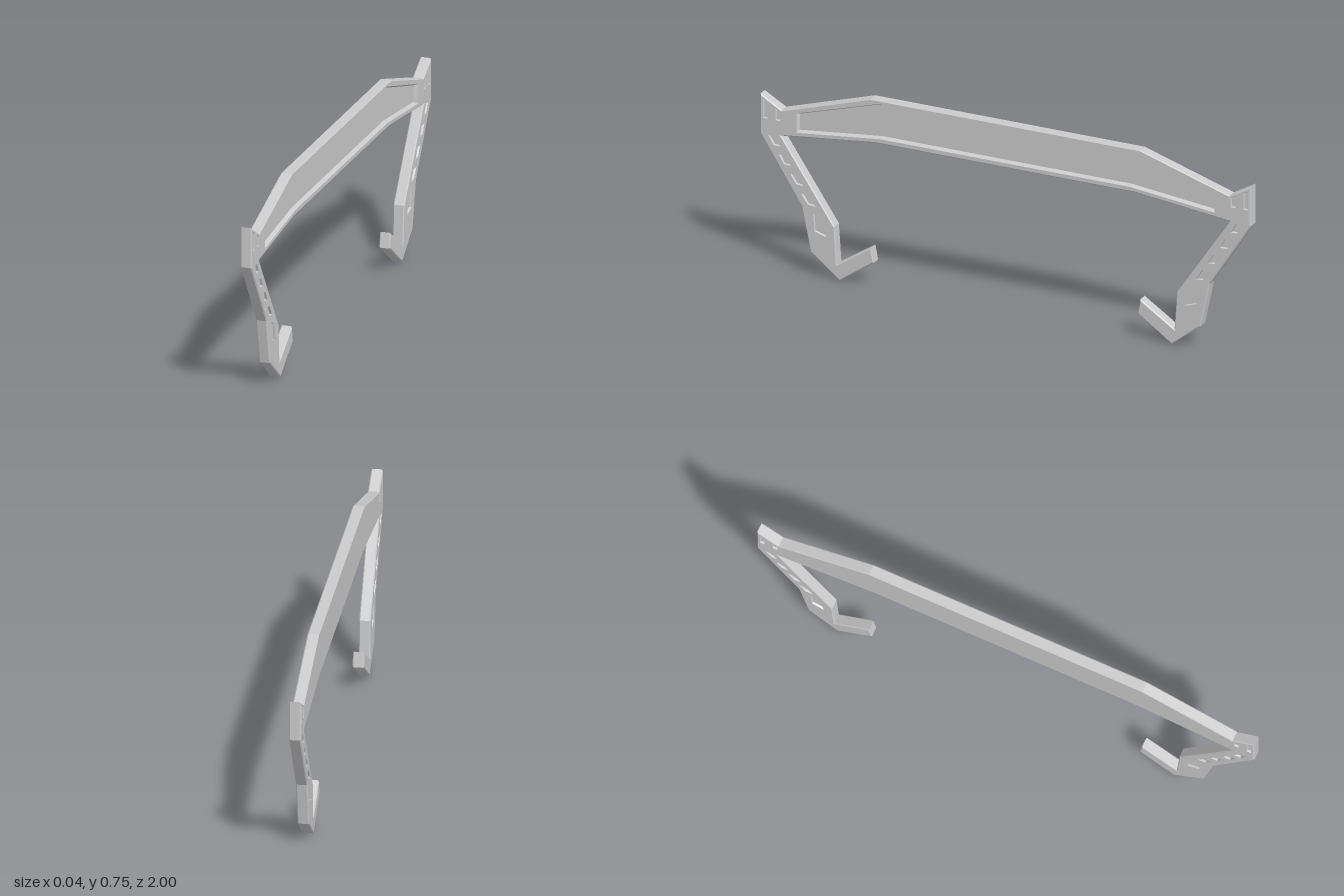
import * as THREE from 'three';
import { mergeGeometries } from 'three/addons/utils/BufferGeometryUtils.js';

const HALF = 0.0215;    // half thickness
const BEVEL = 0.004;    // chamfer around the outline

const toPoints = (list) => {
  const pts = list.map(([u, v]) => new THREE.Vector2(u, v));
  return THREE.ShapeUtils.area(pts) < 0 ? pts.reverse() : pts;
};
const mirrored = (list) => list.map(([u, v]) => [-u, v]);

// Move every edge of a counter-clockwise loop inwards by d
function inset(pts, d) {
  const n = pts.length;
  return pts.map((p, i) => {
    const a = p.clone().sub(pts[(i + n - 1) % n]).normalize();
    const b = pts[(i + 1) % n].clone().sub(p).normalize();
    const na = new THREE.Vector2(-a.y, a.x);
    const nb = new THREE.Vector2(-b.y, b.x);
    return p.clone().addScaledVector(na.clone().add(nb), d / (1 + na.dot(nb)));
  });
}

// Flat-faced wall through a stack of [loop, depth] rings
function loft(rings) {
  const pos = [];
  for (let r = 0; r < rings.length - 1; r++) {
    const [A, wa] = rings[r];
    const [B, wb] = rings[r + 1];
    for (let i = 0; i < A.length; i++) {
      const j = (i + 1) % A.length;
      const a = [A[i].x, A[i].y, wa], b = [A[j].x, A[j].y, wa];
      const c = [B[j].x, B[j].y, wb], d = [B[i].x, B[i].y, wb];
      pos.push(...a, ...b, ...c, ...a, ...c, ...d);
    }
  }
  const g = new THREE.BufferGeometry();
  g.setAttribute('position', new THREE.Float32BufferAttribute(pos, 3));
  g.computeVertexNormals();
  return g;
}

function flat(pts, depth, holes = []) {
  const shape = new THREE.Shape(pts);
  shape.holes = holes.map((h) => new THREE.Path(h));
  const g = new THREE.ShapeGeometry(shape).toNonIndexed().translate(0, 0, depth);
  g.deleteAttribute('uv');
  return g;
}

// Sunken pocket: sloping walls plus a floor
function pocket(rim, depth, slope) {
  const floor = inset(rim, slope);
  return mergeGeometries([
    loft([[rim, HALF], [floor, HALF - depth]]),
    flat(floor, HALF - depth),
  ]);
}

export function createModel() {
  const group = new THREE.Group();
  const material = new THREE.MeshStandardMaterial({ color: 0xcccccc, flatShading: true });
  const add = (name, geometry, turn = 0) => {
    const mesh = new THREE.Mesh(geometry.rotateY(Math.PI / 2 + turn), material);
    mesh.name = name;
    group.add(mesh);
  };

  // Half profile: beam top, end horn, leg, hooked foot, beam underside
  const half = [
    [0.55, 0.747], [0.913, 0.634], [1, 0.684], [1, 0.528], [0.832, 0.268],
    [0.795, 0.093], [0.677, 0], [0.538, 0.097], [0.549, 0.155], [0.688, 0.063],
    [0.698, 0.211], [0.915, 0.532], [0.53, 0.575],
  ];
  const outline = toPoints([...half, ...mirrored(half).reverse()]);
  const faceLoop = inset(outline, BEVEL);

  // Long sunken panel in the beam
  const panelHalf = [[0.51, 0.735], [0.852, 0.633], [0.852, 0.556], [0.51, 0.594]];
  const panelRim = toPoints([...panelHalf, ...mirrored(panelHalf).reverse()]);

  // Leg windows and end slots of one half
  const windows = [
    [[0.966, 0.526], [0.94, 0.526], [0.919, 0.49], [0.945, 0.49]],
    [[0.923, 0.457], [0.893, 0.457], [0.875, 0.421], [0.903, 0.421]],
    [[0.877, 0.388], [0.846, 0.388], [0.825, 0.349], [0.853, 0.352]],
    [[0.833, 0.318], [0.802, 0.318], [0.774, 0.276], [0.806, 0.28]],
    [[0.784, 0.247], [0.747, 0.233], [0.731, 0.163], [0.779, 0.179]],
    [[0.918, 0.59], [0.938, 0.59], [0.938, 0.638], [0.918, 0.626]],
    [[0.97, 0.59], [0.988, 0.59], [0.988, 0.665], [0.97, 0.655]],
  ];
  const rims = windows.flatMap((w) => [toPoints(w), toPoints(mirrored(w))]);

  add('outerEdge', loft([
    [faceLoop, -HALF], [outline, BEVEL - HALF], [outline, HALF - BEVEL], [faceLoop, HALF],
  ]));
  add('panelFace', flat(faceLoop, HALF, [panelRim, ...rims]));
  add('plainFace', flat(faceLoop, HALF, rims), Math.PI);
  add('beamPanel', pocket(panelRim, 0.016, 0.007));

  // Pockets on both faces
  for (const [side, turn] of [['right', 0], ['left', Math.PI]]) {
    add(side + 'Pockets', mergeGeometries(rims.map((r) => pocket(r, 0.008, 0.002))), turn);
  }
  return group;
}
